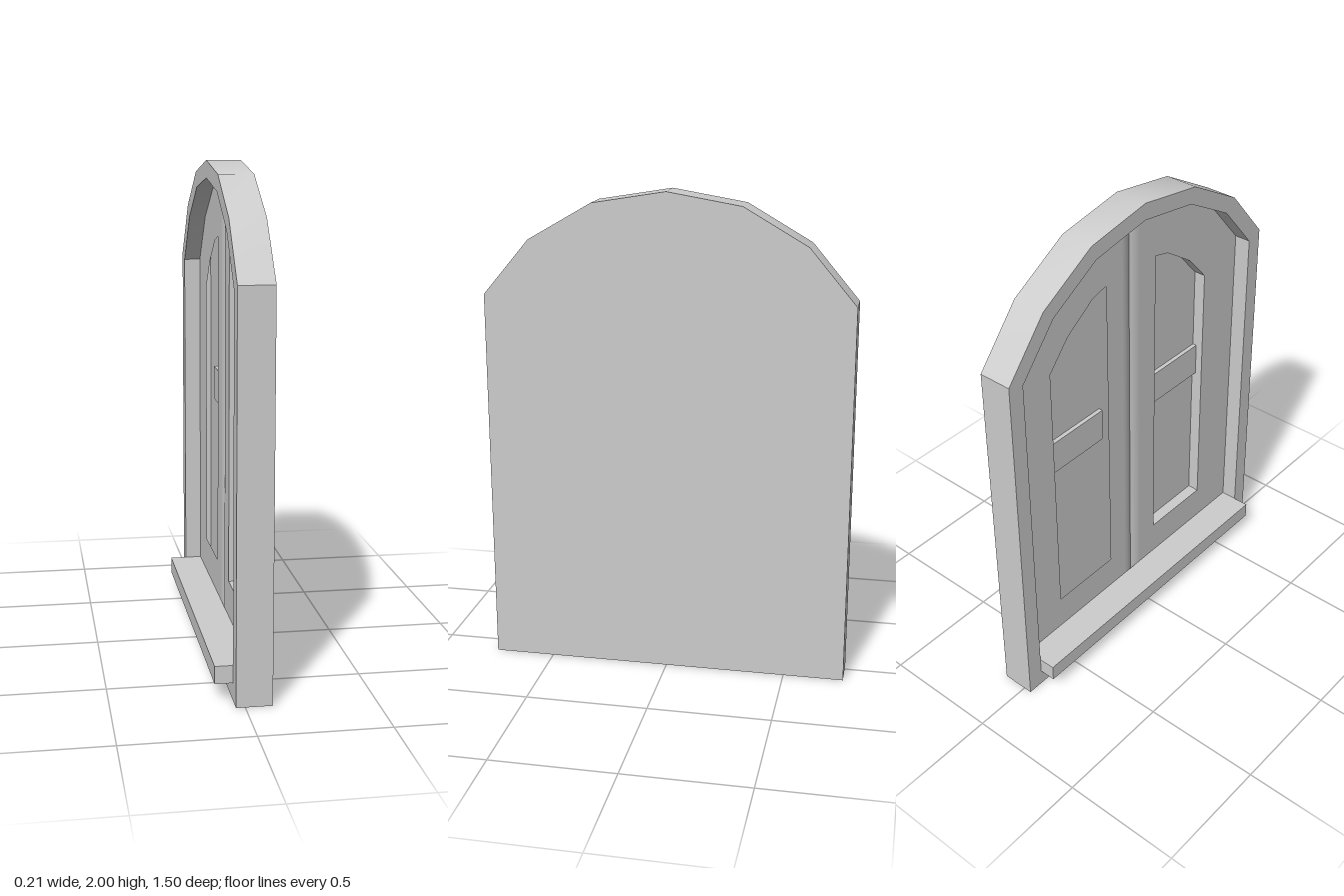
import * as THREE from 'three';
import { toCreasedNormals } from 'three/addons/utils/BufferGeometryUtils.js';

// Half profiles of the arches as [z, y], from the springing to the crown
const OUTER = [[0.75, 1.575], [0.56, 1.8], [0.3, 1.95], [0, 2]];
const OPENING = [[0.68, 1.55], [0.51, 1.75], [0.275, 1.885], [0, 1.93]];
const PANE = [[0.47, 1.452], [0.367, 1.569], [0.223, 1.668], [0.147, 1.688]];

const toPoints = (list) => list.map(([z, y]) => new THREE.Vector2(z, y));

// Full symmetrical arch standing on a given height
function archPoints(half, bottom) {
  const left = half.slice(0, -1).reverse().map(([z, y]) => [-z, y]);
  return toPoints([[half[0][0], bottom], ...half, ...left, [-half[0][0], bottom]]);
}

// Extrude a (z, y) outline so that it spans x0..x1
function slab(outline, hole, x0, x1) {
  const shape = new THREE.Shape(outline);
  if (hole) shape.holes.push(new THREE.Path(hole));
  const g = new THREE.ExtrudeGeometry(shape, { depth: x1 - x0, bevelEnabled: false });
  g.rotateY(-Math.PI / 2).translate(x1, 0, 0);
  return toCreasedNormals(g, 0.6);
}

// Box given by its limits
function box(x0, x1, y0, y1, z0, z1) {
  return new THREE.BoxGeometry(x1 - x0, y1 - y0, z1 - z0)
    .translate((x0 + x1) / 2, (y0 + y1) / 2, (z0 + z1) / 2);
}

export function createModel() {
  const model = new THREE.Group();
  model.name = 'archedWindow';
  const grey = new THREE.MeshStandardMaterial({ color: 0xcccccc });
  grey.name = 'plain grey';

  const add = (parent, name, geometry) => {
    const mesh = new THREE.Mesh(geometry, grey);
    mesh.name = name;
    parent.add(mesh);
  };

  // Outer frame, with a closed panel behind the panes
  add(model, 'frame', slab(archPoints(OUTER, 0), archPoints(OPENING, 0.07), -0.035, 0.105));
  add(model, 'panePanel', slab(archPoints(OPENING, 0.07), null, 0.085, 0.105));

  // Sill, reaching into the recess
  add(model, 'sill', box(-0.105, 0.035, 0.07, 0.14, -0.68, 0.68));

  // Two mirrored casements
  for (const side of [-1, 1]) {
    const casement = new THREE.Group();
    casement.name = side > 0 ? 'leftCasement' : 'rightCasement';
    model.add(casement);
    const flip = (list) => toPoints(list.map(([z, y]) => [side * z, y]));

    // Leaf with an arched pane opening, stopping short of the meeting edge
    const outline = [[0.05, 0.07], [0.68, 0.07], ...OPENING.slice(0, 3), [0.05, 1.922]];
    const hole = [[0.147, 0.29], [0.47, 0.29], ...PANE];
    add(casement, 'leaf', slab(flip(outline), flip(hole), 0.035, 0.085));

    // Softly rounded meeting edge
    const edge = [[0.05, 0.085], [0, 0.085]];
    for (let i = 0; i <= 5; i++) {
      const t = i / 5;
      edge.push([0.05 * t, 0.035 + 0.012 * (1 - t) ** 2]);
    }
    const edgeShape = new THREE.Shape(edge.map(([z, x]) => new THREE.Vector2(x, -side * z)));
    const edgeGeometry = new THREE.ExtrudeGeometry(edgeShape, { depth: 1.852, bevelEnabled: false });
    edgeGeometry.rotateX(-Math.PI / 2).translate(0, 0.07, 0);
    // the rotation sends shape y to -z, so the sign above restores the side
    add(casement, 'meetingEdge', toCreasedNormals(edgeGeometry, 0.6));

    // Crossbar
    const [z0, z1] = side > 0 ? [0.147, 0.47] : [-0.47, -0.147];
    add(casement, 'crossbar', box(0.067, 0.085, 0.945, 1.09, z0, z1));
  }
  return model;
}
